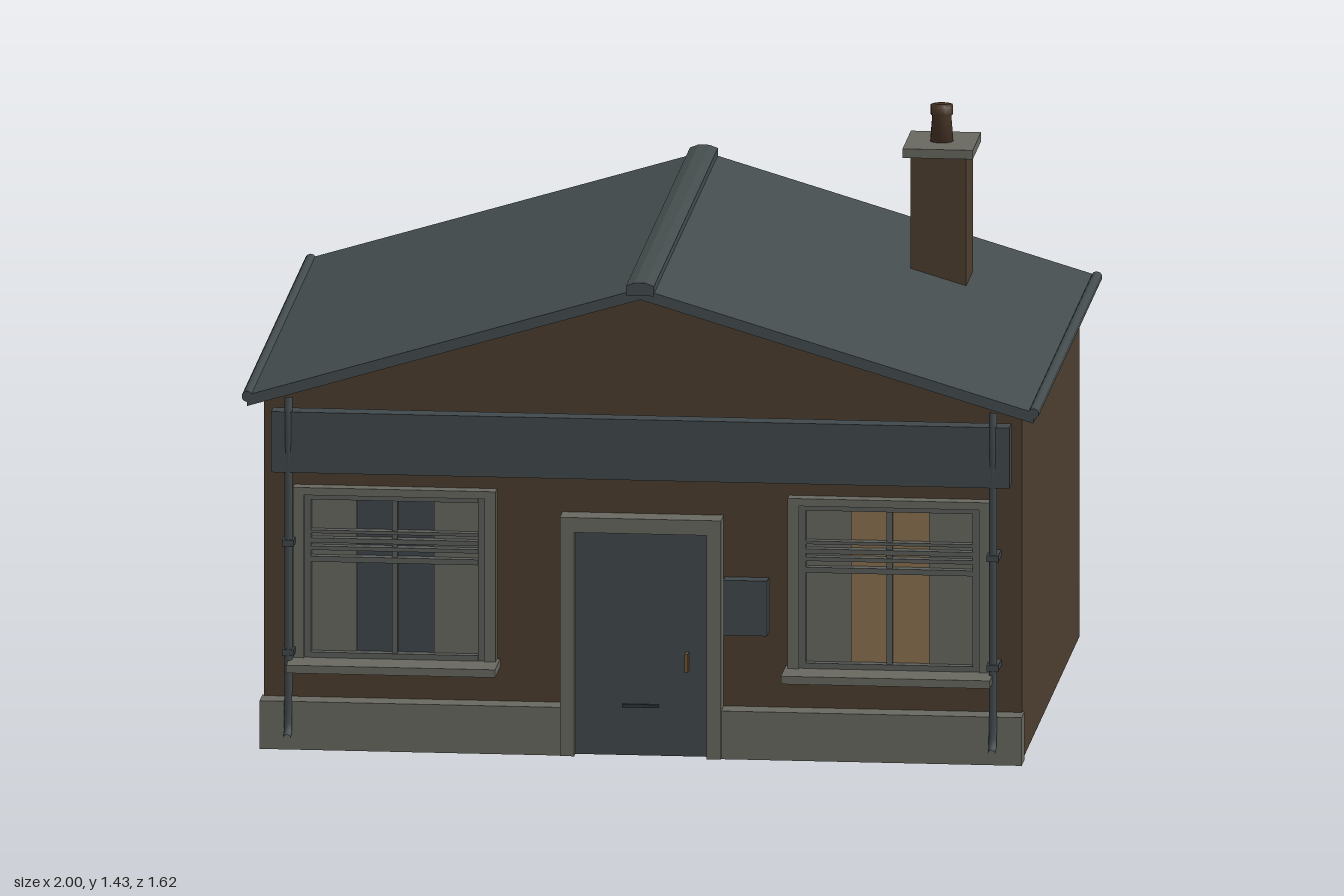
import * as THREE from 'three';

const mat = (name, color) => {
  const m = new THREE.MeshStandardMaterial({ color });
  m.name = name;
  return m;
};

export function createModel() {
  const brick = mat('brick', 0x4c3d2f);
  const slate = mat('slate', 0x444c4d);
  const paint = mat('dark paint', 0x41484b);
  const stone = mat('stone', 0x686861);
  const frame = mat('window frame', 0x5c5f5b);
  const glass = mat('glass', 0x40474d);
  const glow = mat('warm curtain', 0x8a7150);
  const clay = mat('clay pot', 0x463325);
  const metal = mat('black metal', 0x2e3436);
  const brass = mat('brass', 0x6e5434);

  const house = new THREE.Group();
  house.name = 'house';

  const add = (name, geo, material, parent = house) => {
    const m = new THREE.Mesh(geo, material);
    m.name = name;
    parent.add(m);
    return m;
  };
  // Box given by its limits on each axis
  const box = (name, material, x0, x1, y0, y1, z0, z1, parent = house) => {
    const m = add(name, new THREE.BoxGeometry(x1 - x0, y1 - y0, z1 - z0), material, parent);
    m.position.set((x0 + x1) / 2, (y0 + y1) / 2, (z0 + z1) / 2);
    return m;
  };
  // Outline in x, y pushed along z
  const prism = (name, material, pts, z0, z1) => {
    const shape = new THREE.Shape(pts.map(p => new THREE.Vector2(...p)));
    const geo = new THREE.ExtrudeGeometry(shape, { depth: z1 - z0, bevelEnabled: false });
    geo.translate(0, 0, z0);
    return add(name, geo, material);
  };

  // Walls and gables
  box('walls', brick, -0.95, 0.95, 0, 0.89, -0.73, 0.685);
  prism('gable', brick, [[-0.95, 0.89], [0.95, 0.89], [0, 1.178]], -0.732, 0.688);

  // Roof slopes with gutters, ridge cap
  for (const s of [-1, 1]) {
    const pts = [[0, 1.2], [0, 1.172], [s * 0.985, 0.878], [s * 0.985, 0.906]];
    prism('roofSlope', slate, pts, -0.81, 0.755);
    const gutter = add('gutter', new THREE.CylinderGeometry(0.014, 0.014, 1.565, 10), slate);
    gutter.rotation.x = Math.PI / 2;
    gutter.position.set(s * 0.985, 0.902, -0.0275);
  }
  prism('ridgeCap', slate,
    [[-0.035, 1.183], [0.035, 1.183], [0.035, 1.208], [0.014, 1.216], [-0.014, 1.216], [-0.035, 1.208]],
    -0.815, 0.762);

  // Chimney
  box('chimneyStack', brick, 0.57, 0.71, 0.985, 1.315, -0.47, -0.295);
  box('chimneyCap', stone, 0.552, 0.728, 1.315, 1.338, -0.487, -0.28);
  add('chimneyPot', new THREE.LatheGeometry(
    [[0, 0], [0.029, 0], [0.024, 0.065], [0.028, 0.068], [0.028, 0.092], [0, 0.092]]
      .map(p => new THREE.Vector2(...p)), 16), clay).position.set(0.64, 1.338, -0.383);

  // Plinth on both sides of the door, fascia board
  for (const s of [-1, 1]) {
    box('plinth', stone, Math.min(s * 0.2, s * 0.955), Math.max(s * 0.2, s * 0.955), 0, 0.123, 0.675, 0.745);
  }
  box('fascia', paint, -0.925, 0.925, 0.71, 0.865, 0.705, 0.755);
  for (const x of [-0.7, 0, 0.7]) box('fasciaBracket', paint, x - 0.02, x + 0.02, 0.75, 0.83, 0.68, 0.706);

  // Door with stone surround
  const door = new THREE.Group();
  door.name = 'door';
  house.add(door);
  for (const s of [-1, 1]) box('jamb', stone, s * 0.184 - 0.018, s * 0.184 + 0.018, 0, 0.61, 0.68, 0.75, door);
  box('lintel', stone, -0.166, 0.166, 0.572, 0.61, 0.68, 0.75, door);
  box('doorPanel', paint, -0.166, 0.166, 0.003, 0.572, 0.68, 0.735, door);
  box('letterSlot', metal, -0.047, 0.045, 0.126, 0.134, 0.735, 0.741, door);
  box('doorHandle', brass, 0.112, 0.12, 0.222, 0.27, 0.735, 0.763, door);

  // Wall sign
  box('wallSign', paint, 0.205, 0.315, 0.312, 0.453, 0.68, 0.725);

  // Windows: the right-hand one as seen from the front is lit
  for (const s of [-1, 1]) {
    const w = new THREE.Group();
    w.name = s > 0 ? 'leftWindow' : 'rightWindow';
    w.position.x = s * 0.62;
    house.add(w);
    // Outer stone frame
    for (const k of [-1, 1]) box('frameSide', stone, k * 0.24 - 0.014, k * 0.24 + 0.014, 0.23, 0.665, 0.68, 0.722, w);
    box('frameTop', stone, -0.226, 0.226, 0.646, 0.665, 0.68, 0.722, w);
    box('sill', stone, -0.262, 0.262, 0.21, 0.23, 0.68, 0.81, w);
    // Glass and curtains
    box('pane', s > 0 ? glow : glass, -0.226, 0.226, 0.23, 0.646, 0.68, 0.69, w);
    for (const k of [-1, 1]) box('curtain', stone, k * 0.153 - 0.056, k * 0.153 + 0.056, 0.23, 0.646, 0.688, 0.694, w);
    // Sash bars
    for (const k of [-1, 1]) box('sashSide', frame, k * 0.218 - 0.009, k * 0.218 + 0.009, 0.23, 0.646, 0.69, 0.714, w);
    box('mullion', frame, -0.007, 0.007, 0.24, 0.64, 0.69, 0.71, w);
    for (const [y, h] of [[0.237, 0.014], [0.482, 0.014], [0.51, 0.01], [0.53, 0.012], [0.552, 0.008], [0.64, 0.012]]) {
      box('sashBar', frame, -0.21, 0.21, y - h / 2, y + h / 2, 0.69, 0.716, w);
    }
  }

  // Drainpipes with a kicked-out foot
  for (const s of [-1, 1]) {
    const x = s * 0.883;
    const path = new THREE.CatmullRomCurve3([[0.9, 0.74], [0.86, 0.748], [0.68, 0.745], [0.4, 0.745],
      [0.14, 0.747], [0.07, 0.752], [0.045, 0.762], [0.037, 0.78]]
      .map(([y, z]) => new THREE.Vector3(x, y, z)));
    const pipe = metal.clone();
    add('drainpipe', new THREE.TubeGeometry(path, 40, 0.01, 8), paint);
    for (const y of [0.25, 0.53]) box('pipeClip', paint, x - 0.015, x + 0.015, y - 0.008, y + 0.008, 0.685, 0.758);
  }

  return house;
}
